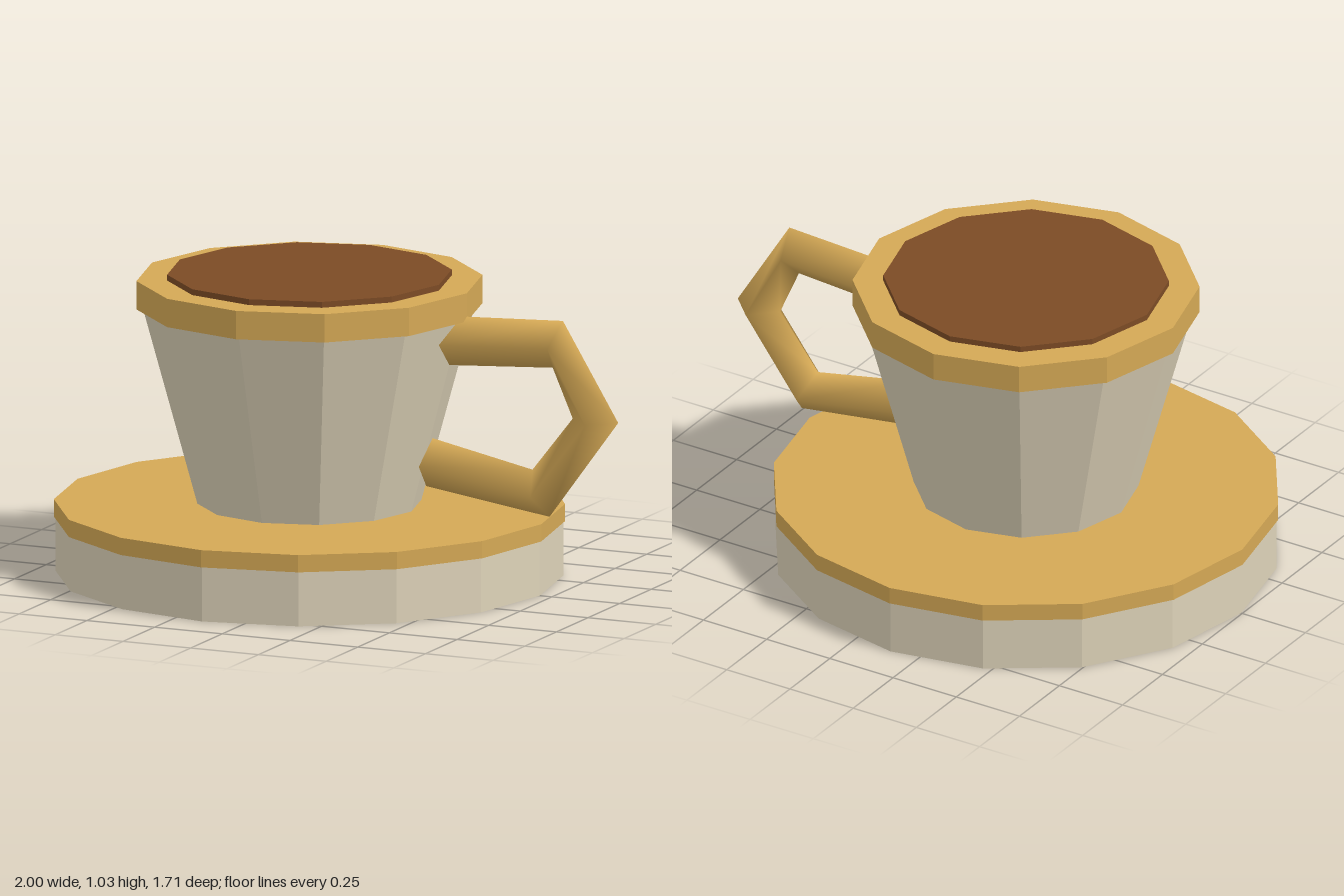
import * as THREE from 'three';

const CENTER_X = -0.145;

const cream = new THREE.MeshStandardMaterial({ color: 0xddd2b8 });
cream.name = 'cream';
const gold = new THREE.MeshStandardMaterial({ color: 0xd4a855, side: THREE.DoubleSide });
gold.name = 'gold';
const coffeeBrown = new THREE.MeshStandardMaterial({ color: 0x7c4b25 });
coffeeBrown.name = 'coffeeBrown';

// Faceted round part standing between two heights
function facetedDisc(name, material, sides, bottomRadius, topRadius, y0, y1) {
  const geometry = new THREE.CylinderGeometry(topRadius, bottomRadius, y1 - y0, sides).toNonIndexed();
  geometry.computeVertexNormals();
  const mesh = new THREE.Mesh(geometry, material);
  mesh.name = name;
  mesh.position.set(CENTER_X, (y0 + y1) / 2, 0);
  return mesh;
}

// Square tube with soft normals; each ring is x, y and the angle of its outer corner
function handleGeometry(rings, radius) {
  const sides = 4;
  const positions = [], normals = [], indices = [];
  rings.forEach(([x, y, degrees], i) => {
    const tilt = THREE.MathUtils.degToRad(degrees);
    for (let j = 0; j < sides; j++) {
      const a = (j / sides) * Math.PI * 2;
      const n = [Math.cos(a) * Math.cos(tilt), Math.cos(a) * Math.sin(tilt), Math.sin(a)];
      normals.push(...n);
      positions.push(x + n[0] * radius, y + n[1] * radius, n[2] * radius);
      if (i < rings.length - 1) {
        const p = i * sides + j, q = i * sides + (j + 1) % sides;
        indices.push(p, q, p + sides, q, q + sides, p + sides);
      }
    }
  });
  const geometry = new THREE.BufferGeometry();
  geometry.setAttribute('position', new THREE.Float32BufferAttribute(positions, 3));
  geometry.setAttribute('normal', new THREE.Float32BufferAttribute(normals, 3));
  geometry.setIndex(indices);
  return geometry;
}

export function createModel() {
  const model = new THREE.Group();
  model.name = 'cupAndSaucer';

  // Saucer with its gilded top
  model.add(facetedDisc('saucer', cream, 16, 0.85, 0.85, 0, 0.186));
  model.add(facetedDisc('saucerRim', gold, 16, 0.856, 0.856, 0.186, 0.245));

  // Cup, rim and drink
  model.add(facetedDisc('cup', cream, 12, 0.375, 0.563, 0.24, 0.93));
  model.add(facetedDisc('cupRim', gold, 12, 0.581, 0.581, 0.913, 1.01));
  model.add(facetedDisc('coffee', coffeeBrown, 12, 0.478, 0.478, 0.98, 1.03));

  // Angular handle
  const handle = new THREE.Mesh(handleGeometry([
    [0.355, 0.842, 94],
    [0.772, 0.866, 77],
    [0.911, 0.617, 0],
    [0.71, 0.351, -68],
    [0.298, 0.42, -98],
  ], 0.084), gold);
  handle.name = 'handle';
  model.add(handle);

  return model;
}
